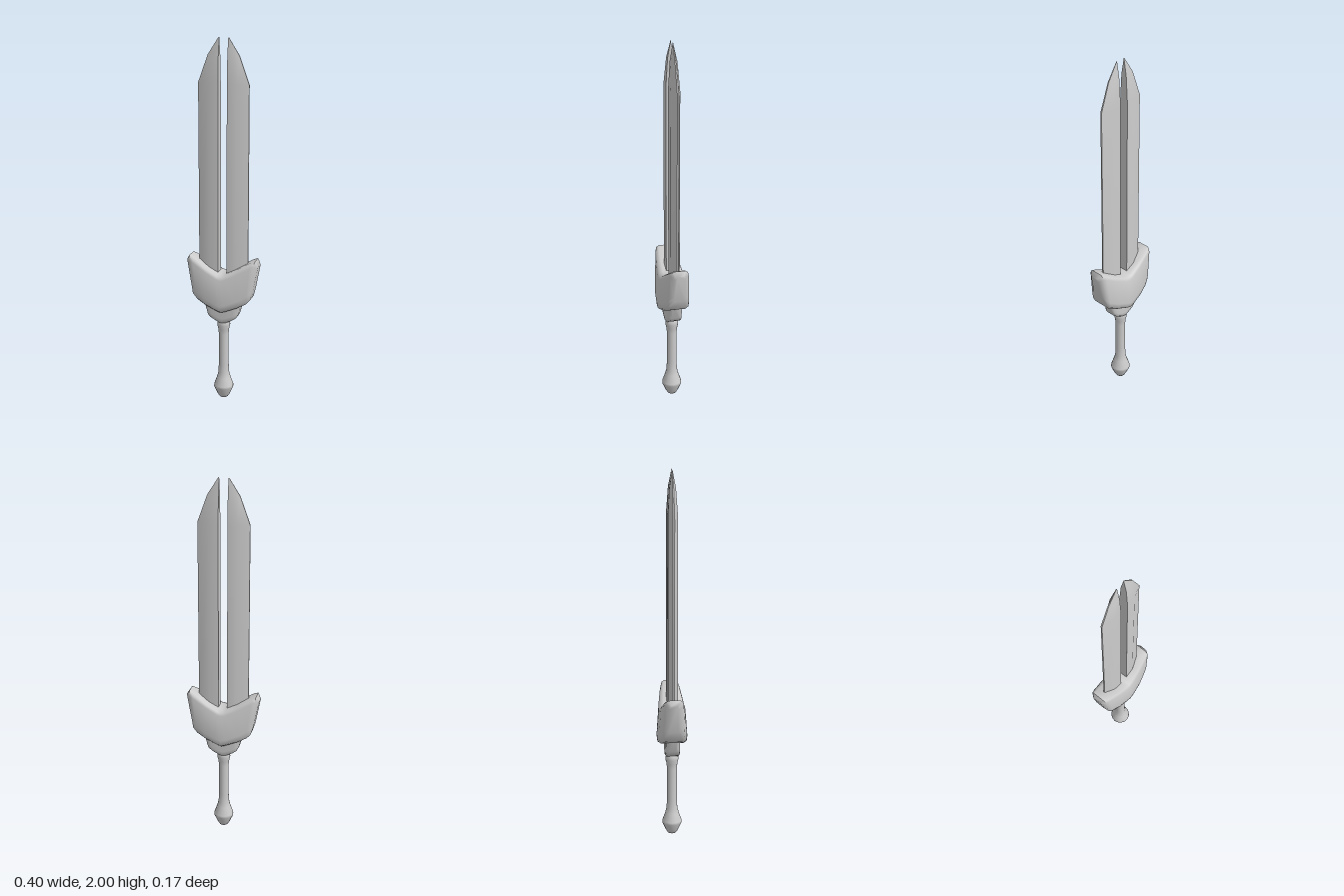
import * as THREE from 'three';
import { toCreasedNormals } from 'three/addons/utils/BufferGeometryUtils.js';

const material = new THREE.MeshStandardMaterial({ color: 0xcccccc });

// Skin a list of equal-length rings, counterclockwise about the direction of travel, with end caps.
function loft(rings, crease) {
  const n = rings[0].length;
  const index = [];
  for (let i = 0; i < rings.length - 1; i++) {
    for (let j = 0; j < n; j++) {
      const k = (j + 1) % n;
      const a = i * n + j, b = i * n + k, c = b + n, d = a + n;
      index.push(a, b, c, a, c, d);
    }
  }
  const last = (rings.length - 1) * n;
  for (let j = 1; j < n - 1; j++) {
    index.push(0, j + 1, j, last, last + j, last + j + 1);
  }
  const geometry = new THREE.BufferGeometry();
  geometry.setAttribute('position', new THREE.Float32BufferAttribute(rings.flat(2), 3));
  geometry.setIndex(index);
  return toCreasedNormals(geometry, crease);
}

function part(name, geometry) {
  const mesh = new THREE.Mesh(geometry, material);
  mesh.name = name;
  return mesh;
}

// One blade: blunt inner side, ridge in the middle, thin cutting edge outside.
function bladeGeometry() {
  // y, ridge x, edge x, half thickness, half edge thickness
  const stations = [
    [0.62, 0.075, 0.137, 0.026, 0.004],
    [1.765, 0.075, 0.137, 0.026, 0.004],
    [1.91, 0.052, 0.085, 0.017, 0.003],
    [2.0, 0.026, 0.028, 0.001, 0.001],
  ];
  const inner = 0.024;
  return loft(stations.map(([y, ridge, edge, z, e]) => [
    [inner, y, z * 0.95], [ridge, y, z], [edge, y, e],
    [edge, y, -e], [ridge, y, -z], [inner, y, -z * 0.95],
  ]), 0.7);
}

// V-shaped block: half stations of [top x, top y, bottom x, bottom y, half depth], mirrored in x.
function chevronGeometry(half, section) {
  const mirrored = half.slice(1).reverse().map(([tx, ty, bx, by, d]) => [-tx, ty, -bx, by, d]);
  const stations = [...mirrored, ...half];
  const loop = [...section, ...section.slice().reverse().map(([s, k]) => [s, -k])];
  return loft(stations.map(([tx, ty, bx, by, d]) =>
    loop.map(([s, k]) => [bx + (tx - bx) * s, by + (ty - by) * s, k * d])), 1.0);
}

export function createModel() {
  const model = new THREE.Group();
  model.name = 'twinBladeSword';

  // Twin blades with a narrow gap
  const blade = bladeGeometry();
  const left = part('leftBlade', blade);
  const right = part('rightBlade', blade);
  right.rotation.y = Math.PI;
  model.add(left, right);

  // Guard, with section points as [height fraction, depth fraction] from top to bottom
  model.add(part('guard', chevronGeometry([
    [0, 0.738, 0, 0.525, 0.083],
    [0.022, 0.742, 0.025, 0.533, 0.082],
    [0.085, 0.775, 0.09, 0.56, 0.075],
    [0.162, 0.82, 0.138, 0.585, 0.062],
    [0.183, 0.828, 0.157, 0.605, 0.056],
    [0.2, 0.803, 0.17, 0.645, 0.03],
  ], [[1, 0.55], [0.96, 0.78], [0.88, 0.87], [0.2, 1], [0.06, 0.95], [0, 0.72]])));

  // Collar under the guard
  model.add(part('collar', chevronGeometry([
    [0, 0.6, 0, 0.45, 0.041],
    [0.02, 0.6, 0.02, 0.456, 0.041],
    [0.065, 0.61, 0.058, 0.475, 0.04],
    [0.1, 0.62, 0.078, 0.49, 0.036],
    [0.116, 0.62, 0.088, 0.508, 0.022],
  ], [[1, 0.9], [0.2, 1], [0.06, 0.95], [0, 0.75]])));

  // Grip and pommel turned as one piece
  const profile = [
    [0, 0], [0.024, 0.002], [0.034, 0.018], [0.054, 0.062], [0.053, 0.075],
    [0.037, 0.12], [0.03, 0.15], [0.027, 0.2], [0.027, 0.38], [0.03, 0.41],
    [0.036, 0.435], [0.034, 0.452], [0.025, 0.48], [0, 0.48],
  ].map(([r, y]) => new THREE.Vector2(r, y));
  model.add(part('gripAndPommel', new THREE.LatheGeometry(profile, 16)));

  return model;
}
